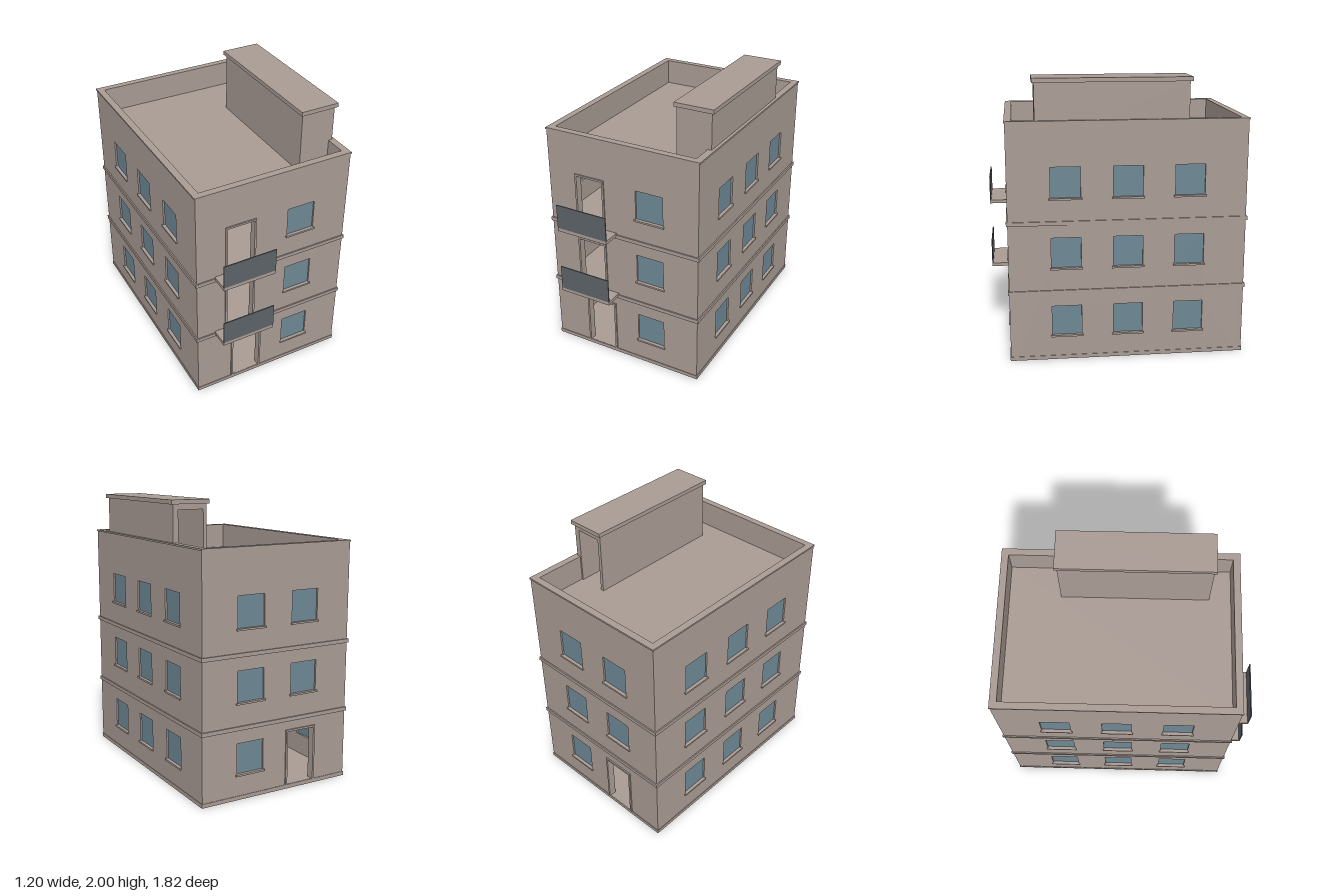
import * as THREE from 'three';

const X = 0.587, ZF = 0.78, ZB = -0.895, T = 0.045, TOP = 1.705;
const ZC = (ZF + ZB) / 2, LEN = ZF - ZB;
const FLOORS = [0, 0.5, 1.0];

export function createModel() {
  const model = new THREE.Group();
  model.name = 'apartmentBlock';
  const mat = (name, color) => {
    const m = new THREE.MeshStandardMaterial({ color });
    m.name = name;
    return m;
  };
  const plaster = mat('plaster', 0xa99b94);
  const glass = mat('glass', 0x6d8895);
  const railing = mat('railing', 0x5d6369);

  // box given by its min and max corners
  const box = (parent, name, m, [x0, y0, z0], [x1, y1, z1]) => {
    const mesh = new THREE.Mesh(new THREE.BoxGeometry(x1 - x0, y1 - y0, z1 - z0), m);
    mesh.position.set((x0 + x1) / 2, (y0 + y1) / 2, (z0 + z1) / 2);
    mesh.name = name;
    parent.add(mesh);
    return mesh;
  };
  const outline = (Kind, pts) => new Kind(pts.map(([x, y]) => new THREE.Vector2(x, y)));
  const rect = (x0, y0, x1, y1) => [[x0, y0], [x1, y0], [x1, y1], [x0, y1]];
  const extrude = (parent, name, shape, depth, z) => {
    const geo = new THREE.ExtrudeGeometry(shape, { depth, bevelEnabled: false });
    const mesh = new THREE.Mesh(geo, plaster);
    mesh.position.z = z;
    mesh.name = name;
    parent.add(mesh);
    return mesh;
  };

  // one outer wall, its outer face on local z = 0, with windows and doors
  const facade = (name, half, windows, doors) => {
    const g = new THREE.Group();
    g.name = name;
    const shape = outline(THREE.Shape, rect(-half, 0.01, half, TOP));
    for (const [cx, y] of windows) {
      const x0 = cx - 0.105, x1 = cx + 0.105;
      shape.holes.push(outline(THREE.Path, rect(x0, y + 0.18, x1, y + 0.4)));
      box(g, 'windowPane', glass, [x0, y + 0.18, -0.03], [x1, y + 0.4, -0.012]);
      box(g, 'windowSill', plaster, [x0 - 0.01, y + 0.17, -0.02], [x1 + 0.01, y + 0.183, 0.012]);
    }
    for (const [x0, x1, y0, y1] of doors) {
      shape.holes.push(outline(THREE.Path, rect(x0, y0, x1, y1)));
      const f = 0.014;
      const frame = outline(THREE.Shape, [[x0, y0], [x0 + f, y0], [x0 + f, y1 - f],
        [x1 - f, y1 - f], [x1 - f, y0], [x1, y0], [x1, y1], [x0, y1]]);
      extrude(g, 'doorFrame', frame, T + 0.01, -T);
    }
    extrude(g, 'wall', shape, T, -T);
    model.add(g);
    return g;
  };

  const W = 0.215, D = 0.435;
  const front = facade('frontFacade', X, FLOORS.map(y => [W, y]),
    [[-0.32, -0.075, 0.03, 0.43], [-0.37, -0.138, 0.52, 0.915], [-0.37, -0.138, 1.02, 1.415]]);
  front.position.z = ZF;

  const back = facade('backFacade', X, [[-W, 0], [-W, 0.5], [W, 0.5], [-W, 1], [W, 1]],
    [[0.075, 0.32, 0.03, 0.43]]);
  back.rotation.y = Math.PI;
  back.position.z = ZB;

  for (const s of [1, -1]) {
    const side = facade(s > 0 ? 'leftFacade' : 'rightFacade', LEN / 2 - T,
      FLOORS.flatMap(y => [-D, 0, D].map(z => [z, y])), []);
    side.rotation.y = s * Math.PI / 2;
    side.position.set(s * X, 0, ZC);
  }

  // floor slabs, showing outside as plinth and bands
  const slab = (name, o, y0, y1) =>
    box(model, name, plaster, [-X - o, y0, ZB - o], [X + o, y1, ZF + o]);
  slab('baseSlab', 0.004, 0, 0.028);
  slab('floorBand', 0.009, 0.492, 0.52);
  slab('floorBand', 0.009, 0.992, 1.02);
  slab('roofDeck', -0.02, 1.49, 1.525);

  // thin coping around the parapet
  const o = 0.005;
  const coping = outline(THREE.Shape, rect(-X - o, -LEN / 2 - o, X + o, LEN / 2 + o));
  coping.holes.push(outline(THREE.Path, rect(-X + T, -LEN / 2 + T, X - T, LEN / 2 - T)));
  const cap = extrude(model, 'parapetCoping', coping, 0.012, ZC);
  cap.rotation.x = -Math.PI / 2;
  cap.position.y = TOP - 0.001;

  // balconies in front of the upper doors
  for (const y of [0.5, 1]) {
    box(model, 'balconySlab', plaster, [-0.45, y + 0.005, ZF - 0.01], [-0.05, y + 0.03, 0.912]);
    box(model, 'balconyRailing', railing, [-0.45, y + 0.03, 0.904], [-0.05, y + 0.21, 0.912]);
  }

  // stair house on the roof, open at the back
  const stair = new THREE.Group();
  stair.name = 'stairHouse';
  model.add(stair);
  const sx0 = 0.315, sx1 = 0.57, sz0 = -0.48, sz1 = 0.58, sy = 1.52, st = 1.972;
  box(stair, 'stairOuterWall', plaster, [sx1 - 0.04, sy, sz0], [sx1, st, sz1]);
  box(stair, 'stairInnerWall', plaster, [sx0, sy, sz0], [sx0 + 0.025, st, sz1]);
  box(stair, 'stairFrontWall', plaster, [sx0 + 0.025, sy, sz1 - 0.04], [sx1 - 0.04, st, sz1]);
  box(stair, 'stairLintel', plaster, [sx0 + 0.025, st - 0.04, sz0], [sx1 - 0.04, st, sz0 + 0.04]);
  box(stair, 'stairRoof', plaster, [0.3, 1.97, -0.497], [0.588, 2, 0.595]);

  return model;
}
